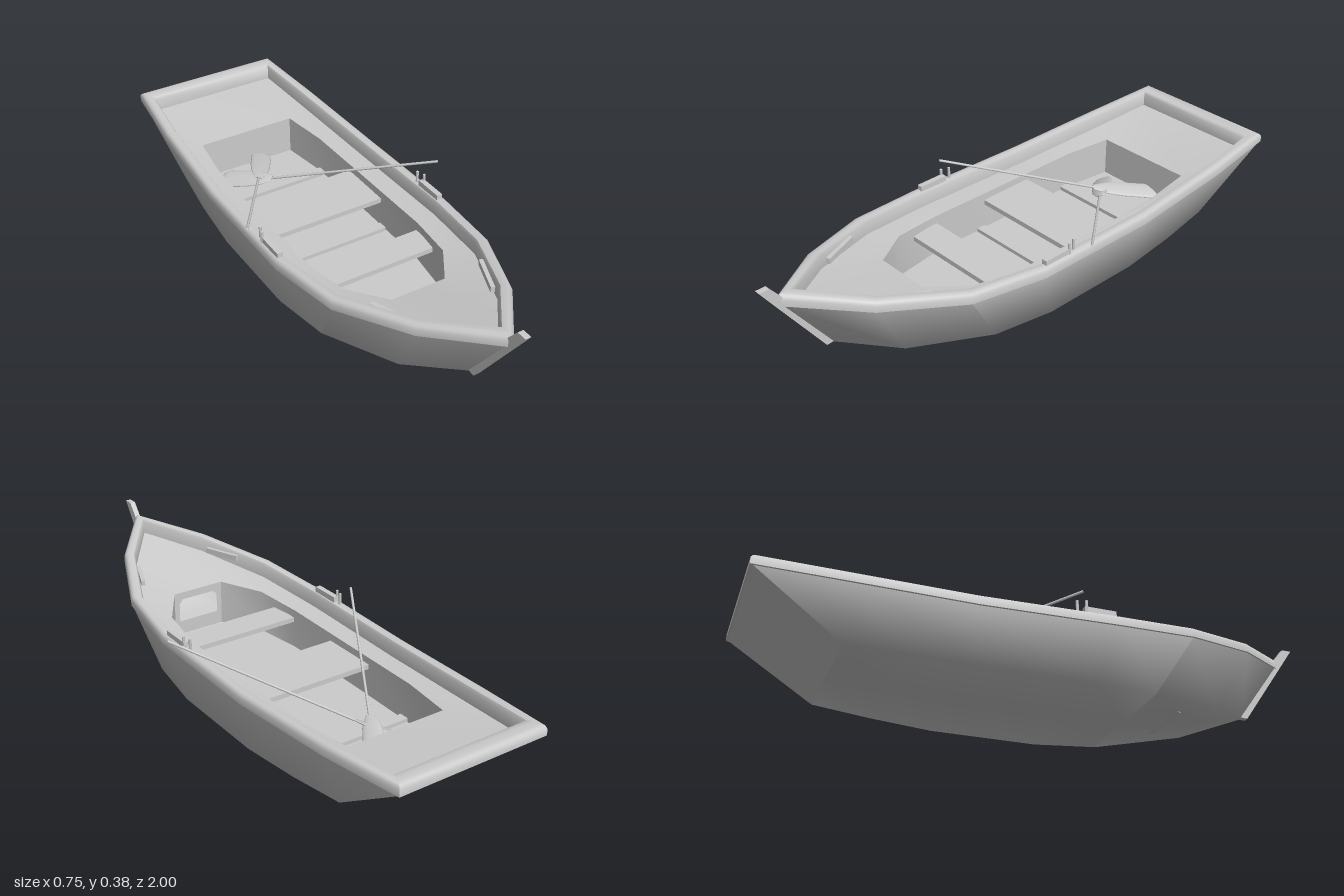
import * as THREE from 'three';
import { toCreasedNormals } from 'three/addons/utils/BufferGeometryUtils.js';

const material = new THREE.MeshStandardMaterial({ color: 0xcccccc, side: THREE.DoubleSide });

function add(parent, name, geometry) {
  const mesh = new THREE.Mesh(geometry, material);
  mesh.name = name;
  parent.add(mesh);
  return mesh;
}

// Closed ring from [halfWidth, y, z] nodes running stern to bow, mirrored back to the stern
function ring(nodes) {
  const port = nodes.map(([x, y, z]) => new THREE.Vector3(x, y, z));
  const starboard = nodes.slice(0, -1).reverse().map(([x, y, z]) => new THREE.Vector3(-x, y, z));
  return [...port, ...starboard];
}

// Segments around a ring
const AFT = [0, 1, 2, 3, 8, 9, 10, 11], FORWARD = [4, 5, 6, 7], STERN = [12];
const ALL = [...AFT, ...FORWARD, ...STERN];

// Skin between successive rings over the given segments
function loft(rings, crease, segments = ALL) {
  const positions = [];
  const triangle = (a, b, c) => {
    if (new THREE.Triangle(a, b, c).getArea() > 1e-7) {
      for (const p of [a, b, c]) positions.push(p.x, p.y, p.z);
    }
  };
  for (let r = 0; r < rings.length - 1; r++) {
    for (const i of segments) {
      const j = (i + 1) % rings[r].length;
      triangle(rings[r][i], rings[r][j], rings[r + 1][i]);
      triangle(rings[r][j], rings[r + 1][j], rings[r + 1][i]);
    }
  }
  const geometry = new THREE.BufferGeometry();
  geometry.setAttribute('position', new THREE.Float32BufferAttribute(positions, 3));
  return toCreasedNormals(geometry, crease);
}

// Places a mesh built along +y so that it runs from a to b
function aim(mesh, a, b) {
  mesh.position.copy(a).lerp(b, 0.5);
  mesh.quaternion.setFromUnitVectors(new THREE.Vector3(0, 1, 0), b.clone().sub(a).normalize());
}

// Stations from stern to bow: outer and inner rail edges, hull bottom and cockpit edge
const railOuter = [[0.277, 0.255, -0.995], [0.306, 0.237, -0.7], [0.327, 0.221, -0.3], [0.33, 0.23, 0.17],
  [0.295, 0.252, 0.45], [0.175, 0.295, 0.72], [0, 0.34, 0.945]];
const railInner = [[0.243, 0.255, -0.93], [0.265, 0.237, -0.7], [0.287, 0.221, -0.3], [0.29, 0.23, 0.16],
  [0.257, 0.252, 0.43], [0.145, 0.295, 0.69], [0, 0.34, 0.88]];
const hullBottom = [[0.245, 0.02, -0.7], [0.27, 0.01, -0.5], [0.286, 0, -0.28], [0.285, 0, 0.1],
  [0.255, 0.008, 0.32], [0.147, 0.042, 0.6], [0, 0.085, 0.78]];
const cockpit = [[0.185, 0.168, -0.655], [0.21, 0.166, -0.47], [0.215, 0.165, -0.2], [0.215, 0.17, 0.17],
  [0.19, 0.182, 0.35], [0.1, 0.195, 0.485], [0, 0.195, 0.485]];

// Ring at fraction t from the outer to the inner rail edge, shifted by dy
const railRing = (t, dy) => ring(railOuter.map((o, i) => {
  const p = o.map((v, k) => THREE.MathUtils.lerp(v, railInner[i][k], t));
  return [p[0], p[1] + dy, p[2]];
}));

function buildHull(boat) {
  // The bottom is flat across each station and rises towards the bow
  const centreLine = hullBottom.map(([, y, z]) => [0, y, z]);
  const skins = [railRing(0.1, -0.036), ring(hullBottom), ring(centreLine)];
  add(boat, 'aftHull', loft(skins, 1.75, AFT));
  add(boat, 'bowHull', loft(skins, 1.75, FORWARD));
  add(boat, 'transom', loft(skins, 0.5, STERN));

  const profile = [[1, -0.06], [1, -0.012], [0.88, -0.003], [0.6, 0], [0.3, 0],
    [0.12, -0.004], [0, -0.014], [0, -0.036], [0.1, -0.038]];
  add(boat, 'gunwale', loft(profile.map(([t, dy]) => railRing(t, dy)), 0.75));

  // Raked stem post at the bow
  const stem = new THREE.Shape([[0.765, 0.085], [0.795, 0.083], [0.952, 0.31], [1, 0.38], [0.965, 0.38], [0.91, 0.31]]
    .map(([z, y]) => new THREE.Vector2(-z, y)));
  const stemGeometry = new THREE.ExtrudeGeometry(stem, { depth: 0.02, bevelEnabled: false });
  stemGeometry.translate(0, 0, -0.01).rotateY(Math.PI / 2);
  add(boat, 'stemPost', stemGeometry);
}

function buildInterior(boat) {
  const floor = cockpit.map(([x, , z]) => [x, 0.025, z]);
  const floorCentre = floor.map(([, y, z]) => [0, y, z]);
  add(boat, 'deck', loft([ring(cockpit), railRing(1, -0.058)], 0.5));
  add(boat, 'cockpitWalls', loft([ring(floor), ring(cockpit)], 0.5, [...AFT, 4, 7, ...STERN]));
  add(boat, 'cockpitFloor', loft([ring(floorCentre), ring(floor)], 0.5));

  // Forward bulkhead with a locker opening
  const bulkhead = new THREE.Shape([[-0.1, 0.025], [0.1, 0.025], [0.1, 0.195], [-0.1, 0.195]]
    .map(([x, y]) => new THREE.Vector2(x, y)));
  bulkhead.holes.push(new THREE.Path([[-0.08, 0.08], [-0.08, 0.15], [-0.065, 0.167], [0.065, 0.167], [0.08, 0.15], [0.08, 0.08]]
    .map(([x, y]) => new THREE.Vector2(x, y))));
  add(boat, 'bulkhead', new THREE.ShapeGeometry(bulkhead)).position.z = 0.485;

  // Thwarts across the cockpit and low ribs on its floor
  for (const [name, y, back, front] of [['bench', 0.135, -0.26, -0.05], ['bench', 0.135, 0.17, 0.28],
    ['floorRib', 0.03, -0.47, -0.435], ['floorRib', 0.03, -0.05, -0.015]]) {
    const plank = add(boat, name, new THREE.BoxGeometry(0.42, 0.018, front - back));
    plank.position.set(0, y, (back + front) / 2);
  }
}

function buildFittings(boat) {
  for (const side of [-1, 1]) {
    const pad = add(boat, 'oarlockPad', new THREE.BoxGeometry(0.02, 0.025, 0.11));
    pad.position.set(side * 0.308, 0.234, 0.105);
    for (const [x, z] of [[0.307, 0.028], [0.316, 0.056]]) {
      const pin = add(boat, 'oarlockPin', new THREE.CylinderGeometry(0.005, 0.005, 0.045, 10));
      pin.position.set(side * x, 0.245, z);
    }
    // Bow grips
    const grip = add(boat, 'bowGrip', new THREE.BoxGeometry(0.014, 0.02, 0.14));
    grip.position.set(side * 0.176, 0.25, 0.595);
    grip.rotation.y = -side * 0.38;
  }
}

// Oar with a slim shaft and a flattened, rounded blade
function buildOar(boat, handle, neck, tip, roll) {
  const oar = new THREE.Group();
  oar.name = 'oar';
  const a = new THREE.Vector3(...handle), b = new THREE.Vector3(...neck), c = new THREE.Vector3(...tip);
  aim(add(oar, 'oarShaft', new THREE.CylinderGeometry(0.0045, 0.0045, a.distanceTo(b), 10)), a, b);
  const length = b.distanceTo(c);
  const profile = [[0, 0], [0.012, 0], [0.03, 0.2], [0.037, 0.45], [0.038, 0.85], [0.028, 0.96], [0, 1]]
    .map(([r, t]) => new THREE.Vector2(r, (t - 0.5) * length));
  const blade = new THREE.LatheGeometry(profile, 16);
  blade.scale(1, 1, 0.22).rotateY(roll);
  aim(add(oar, 'oarBlade', blade), b, c);
  boat.add(oar);
}

export function createModel() {
  const model = new THREE.Group();
  model.name = 'rowingBoat';
  const boat = new THREE.Group();
  boat.name = 'boat';
  boat.position.x = -0.017;
  model.add(boat);
  buildHull(boat);
  buildInterior(boat);
  buildFittings(boat);
  buildOar(boat, [0.389, 0.282, 0.03], [-0.013, 0.085, -0.44], [-0.145, 0.035, -0.6], 0.3);
  buildOar(boat, [-0.355, 0.277, 0.03], [-0.06, 0.095, -0.455], [0.07, 0.04, -0.675], -0.3);
  return model;
}
